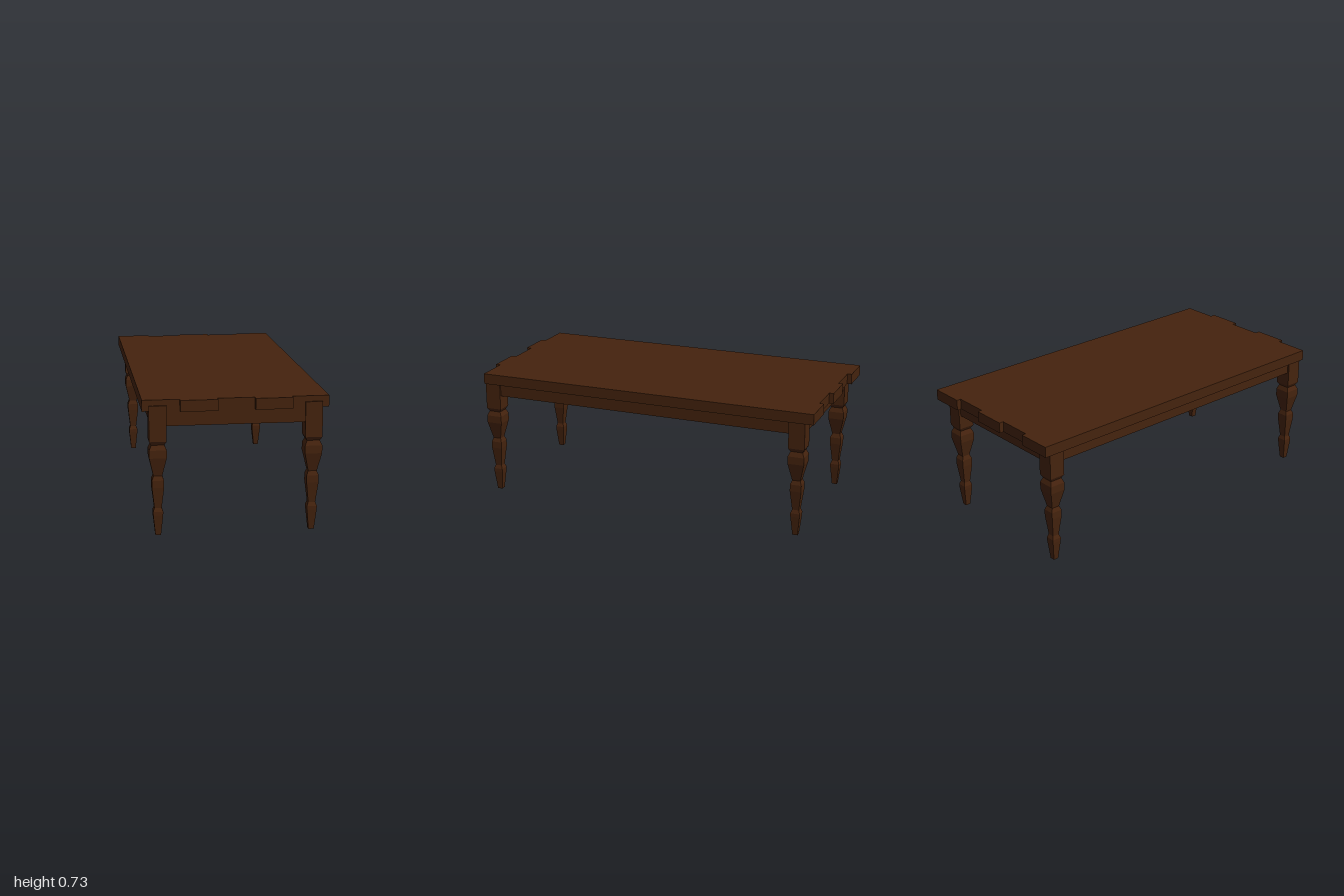
import * as THREE from 'three';

export function createModel() {
  const table = new THREE.Group();
  table.name = 'table';
  const wood = new THREE.MeshStandardMaterial({ color: 0x45230e, flatShading: true });
  wood.name = 'dark wood';

  const add = (name, geometry, x, y, z) => {
    const mesh = new THREE.Mesh(geometry, wood);
    mesh.name = name;
    mesh.position.set(x, y, z);
    table.add(mesh);
  };

  // Tabletop: five planks, alternately shifted along their length
  const plankWidth = 0.1952;
  for (let i = 0; i < 5; i++) {
    const [back, front] = i % 2 ? [-0.975, 1] : [-1, 0.971];
    add('plank' + (i + 1), new THREE.BoxGeometry(plankWidth, 0.06, front - back),
      (i - 2) * plankWidth, 0.7, (front + back) / 2);
  }

  // Legs: square turned profile as [half width, height]
  const profile = [
    [0, 0], [0.0145, 0], [0.026, 0.11], [0.0265, 0.13], [0.019, 0.15],
    [0.032, 0.262], [0.032, 0.3], [0.023, 0.323], [0.0455, 0.423],
    [0.0455, 0.465], [0.034, 0.491], [0.0455, 0.511], [0.0455, 0.7], [0, 0.7],
  ].map(([w, y]) => new THREE.Vector2(w * Math.SQRT2, y));
  const legGeometry = new THREE.LatheGeometry(profile, 4, Math.PI / 4);
  const legX = 0.408, frontZ = 0.936, backZ = -0.899;
  for (const side of [1, -1]) {
    const label = side > 0 ? 'Left' : 'Right';
    add('front' + label + 'Leg', legGeometry, side * legX, 0, frontZ);
    add('back' + label + 'Leg', legGeometry, side * legX, 0, backZ);
    // Long rails under the tabletop
    add('side' + label + 'Rail', new THREE.BoxGeometry(0.07, 0.08, frontZ - backZ - 0.08),
      side * legX, 0.631, (frontZ + backZ) / 2);
  }

  // Short rails
  const endRail = new THREE.BoxGeometry(2 * legX - 0.08, 0.08, 0.07);
  add('frontRail', endRail, 0, 0.631, frontZ);
  add('backRail', endRail, 0, 0.631, backZ);

  return table;
}
